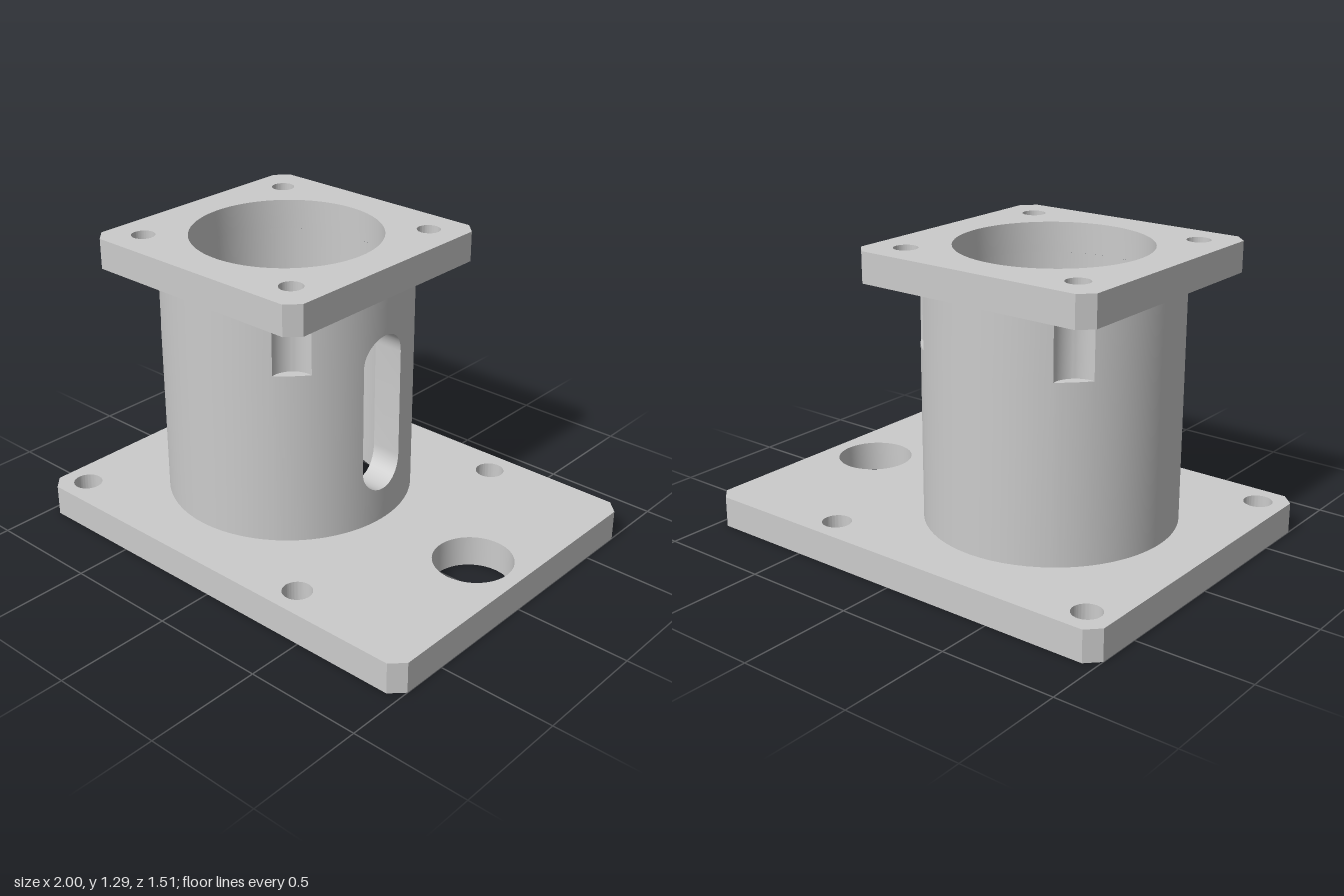
import * as THREE from 'three';
import { toCreasedNormals } from 'three/addons/utils/BufferGeometryUtils.js';

const CX = -0.245;                       // tube axis
const R = 0.535, BORE = 0.405;           // tube radii
const BASE_TOP = 0.135, TUBE_TOP = 1.16, FLANGE_TOP = 1.29;
const RECESS_R = 0.515, RECESS_Y = 0.085; // counterbore under the base
const SLOT_R = 0.115, SLOT_LOW = 0.395, SLOT_HIGH = 0.87;
const SCREW = 0.415;                     // screw offset from the tube axis
const POCKET_R = 0.0964, POCKET_D = SCREW * Math.SQRT2, POCKET_Y = 0.89, CONE_Y = 0.945;

const material = new THREE.MeshStandardMaterial({ color: 0xcccccc });

function addMesh(group, name, geometry) {
  const mesh = new THREE.Mesh(toCreasedNormals(geometry, 0.5), material);
  mesh.name = name;
  group.add(mesh);
}

// Chamfered plate with round holes given as [x, z, radius]
function plate(x0, x1, halfZ, y0, y1, holes) {
  const c = 0.055;
  const shape = new THREE.Shape([
    [x0 + c, -halfZ], [x1 - c, -halfZ], [x1, -halfZ + c], [x1, halfZ - c],
    [x1 - c, halfZ], [x0 + c, halfZ], [x0, halfZ - c], [x0, -halfZ + c],
  ].map(([x, y]) => new THREE.Vector2(x, y)));
  for (const [x, z, r] of holes) {
    shape.holes.push(new THREE.Path().absarc(x, -z, r, 0, Math.PI * 2, true));
  }
  return new THREE.ExtrudeGeometry(shape, { depth: y1 - y0, bevelEnabled: false, curveSegments: 48 })
    .rotateX(-Math.PI / 2).translate(0, y0, 0);
}

// One radial section of the tube: outer angle a, inner angle b, slot edges lo and hi
function section(a, b, lo, hi, inSlot) {
  // screw pocket: vertical cylinder biting into the outer wall at each diagonal
  const quarter = Math.floor(a / (Math.PI / 2));
  const phi = a - (quarter + 0.5) * Math.PI / 2;
  const root = POCKET_R ** 2 - (POCKET_D * Math.sin(phi)) ** 2;
  const rp = root > 0 ? Math.min(R, POCKET_D * Math.cos(phi) - Math.sqrt(root)) : R;
  let yOut = Math.max(POCKET_Y, hi), yIn = yOut;
  if (quarter === 1 && root > 0) {       // the front pocket at -x ends in a cone
    const rho = Math.hypot(R * Math.cos(phi) - POCKET_D, R * Math.sin(phi));
    yOut = CONE_Y - Math.max(0, POCKET_R - rho);
    yIn = CONE_Y;
  }
  const at = (r, y, t) => [CX + r * Math.cos(t), y, r * Math.sin(t)];
  return {
    inSlot,
    paths: [
      [at(R, BASE_TOP, a), at(R, lo, a), at(BORE, lo, b), at(BORE, RECESS_Y, b), at(RECESS_R, RECESS_Y, b)],
      [at(BORE, TUBE_TOP, b), at(BORE, hi, b), at(R, hi, a), at(R, yOut, a), at(rp, yIn, a), at(rp, TUBE_TOP, a)],
    ],
  };
}

// Tube wall swept around the axis, with the slot at +x and the four pockets
function tubeWall() {
  const a0 = Math.asin(SLOT_R / R), b0 = Math.asin(SLOT_R / BORE);
  const sections = [];
  // slot: parallel side walls, rounded ends
  for (let i = 0; i <= 24; i++) {
    const u = (i / 24 - 0.5) * Math.PI;
    const z = SLOT_R * Math.sin(u), h = SLOT_R * Math.cos(u);
    sections.push(section(Math.asin(z / R), Math.asin(z / BORE), SLOT_LOW - h, SLOT_HIGH + h, true));
  }
  // rest of the wall, with stops at the pocket edges
  const cosEdge = (POCKET_D ** 2 + R ** 2 - POCKET_R ** 2) / (2 * POCKET_D * R);
  const w = Math.acos(cosEdge), q = Math.PI / 4;
  const half = [a0, q - w, q + w, 3 * q - w, 3 * q + w, Math.PI];
  const stops = [...half, ...half.slice(0, -1).reverse().map((t) => 2 * Math.PI - t)];
  const mid = (SLOT_LOW + SLOT_HIGH) / 2;
  const add = (a) => sections.push(
    section(a, Math.PI + (a - Math.PI) * (Math.PI - b0) / (Math.PI - a0), mid, mid, false));
  add(a0);
  for (let s = 0; s < stops.length - 1; s++) {
    for (let i = 1; i <= 14; i++) add(THREE.MathUtils.lerp(stops[s], stops[s + 1], i / 14));
  }

  const positions = [];
  const va = new THREE.Vector3(), vb = new THREE.Vector3(), vc = new THREE.Vector3();
  const tri = (a, b, c) => {
    va.fromArray(a); vb.fromArray(b).sub(va); vc.fromArray(c).sub(va);
    if (vb.cross(vc).length() > 1e-9) positions.push(...a, ...b, ...c);
  };
  sections.forEach((A, j) => {
    const B = sections[(j + 1) % sections.length];
    A.paths.forEach((p, k) => {
      const n = B.paths[k];
      for (let i = 0; i < p.length - 1; i++) {
        if (i === 1 && !A.inSlot && !B.inSlot) continue; // slot faces only at the slot
        tri(n[i], p[i], p[i + 1]);
        tri(n[i], p[i + 1], n[i + 1]);
      }
    });
  });
  const geometry = new THREE.BufferGeometry();
  geometry.setAttribute('position', new THREE.Float32BufferAttribute(positions, 3));
  return geometry;
}

export function createModel() {
  const group = new THREE.Group();
  group.name = 'flangedMount';

  // base plate: recess, corner bolt holes and one large side hole
  const boltHoles = [-0.88, 0.39].flatMap((x) => [-0.635, 0.635].map((z) => [x, z, 0.062]));
  addMesh(group, 'basePlate', plate(-1, 1, 0.755, 0, BASE_TOP,
    [[CX, 0, RECESS_R], [0.77, 0, 0.167], ...boltHoles]));

  addMesh(group, 'tube', tubeWall());

  // top flange: bore and four screw holes
  const screwHoles = [-SCREW, SCREW].flatMap((x) => [-SCREW, SCREW].map((z) => [CX + x, z, 0.05]));
  addMesh(group, 'topFlange', plate(CX - 0.565, CX + 0.565, 0.565, TUBE_TOP, FLANGE_TOP,
    [[CX, 0, BORE], ...screwHoles]));

  return group;
}
